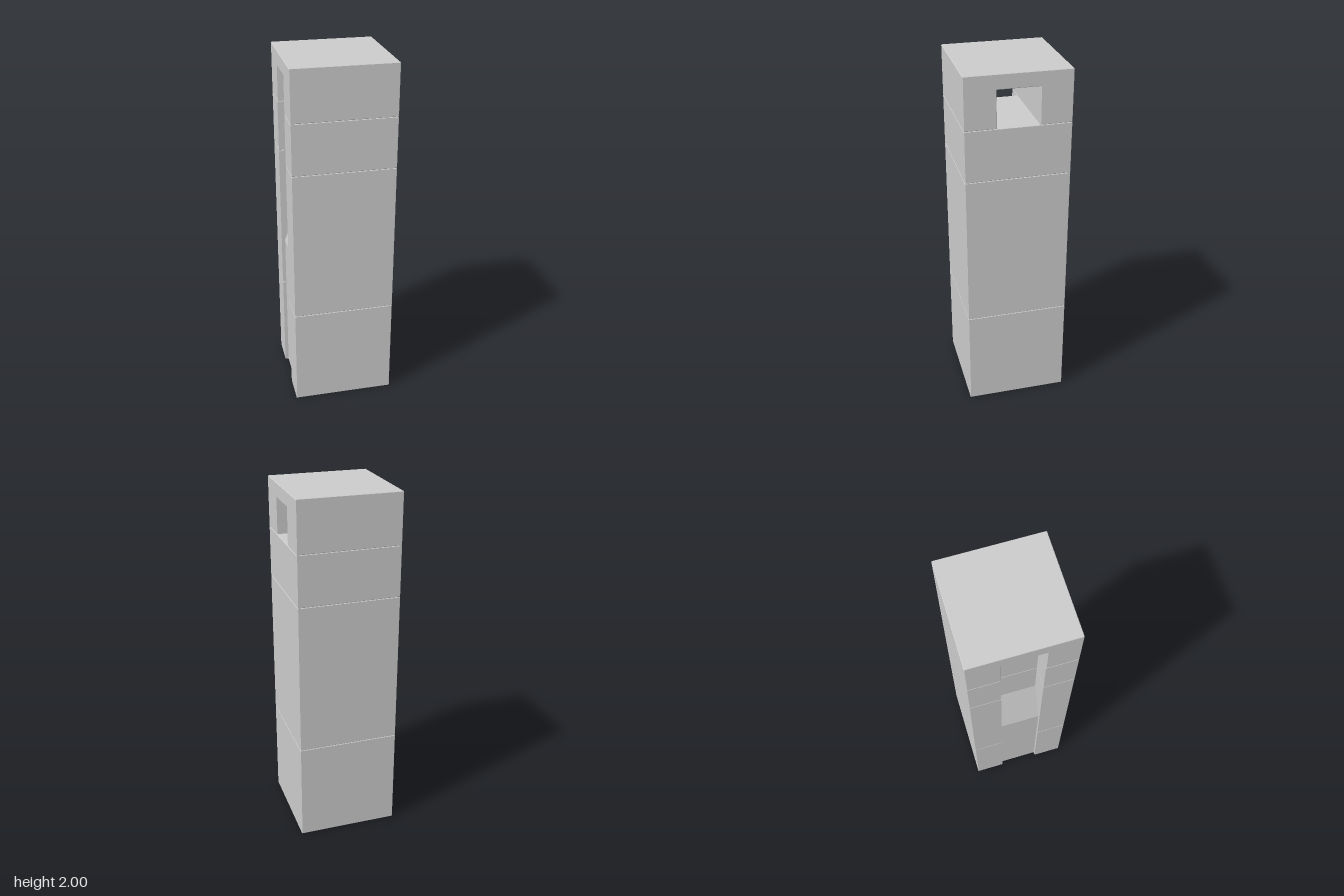
import * as THREE from 'three';

const U = 2 / 7;          // grid unit: the tower is 2 x 2 x 7 units
const C = 0.003;          // tiny edge chamfer
const SLOT = 0.4 * U;     // half width of the channel
const DEEP = 0.4 * U;     // channel depth in its upper part
const SHALLOW = 0.02;     // channel depth in its lower part

const material = new THREE.MeshStandardMaterial({ color: 0xcccccc, flatShading: true });

// Chamfered block with a U-shaped section, open at the bottom of the section,
// extruded along z from 0 to length.
function notchedBlock(halfWidth, height, notch, length) {
  const w = halfWidth, h = height;
  const shape = new THREE.Shape([
    [-w + C, 0], [-SLOT, 0], [-SLOT, notch], [SLOT, notch], [SLOT, 0], [w - C, 0],
    [w, C], [w, h - C], [w - C, h], [-w + C, h], [-w, h - C], [-w, C],
  ].map(([x, y]) => new THREE.Vector2(x, y)));
  return new THREE.ExtrudeGeometry(shape, {
    depth: length - 2 * C, bevelEnabled: true, bevelSegments: 1,
    bevelSize: C, bevelOffset: -C, bevelThickness: C,
  }).translate(0, 0, C);
}

export function createModel() {
  const group = new THREE.Group();
  const add = (name, geometry) => {
    const mesh = new THREE.Mesh(geometry, material);
    mesh.name = name;
    group.add(mesh);
  };

  // Stacked blocks with the channel open towards -x
  const toUpright = new THREE.Matrix4().makeBasis(
    new THREE.Vector3(0, 0, 1), new THREE.Vector3(1, 0, 0), new THREE.Vector3(0, 1, 0));
  for (const [name, from, to] of [['baseBlock', 0, 2], ['shaftBlock', 2, 5], ['upperBlock', 5, 6]]) {
    const geometry = notchedBlock(U, 2 * U, DEEP, (to - from) * U);
    add(name, geometry.applyMatrix4(toUpright).translate(-U, from * U, 0));
  }

  // Top block with a window passing through along x
  add('topBlock', notchedBlock(U, U, 0.72 * U, 2 * U)
    .rotateY(Math.PI / 2).translate(-U, 6 * U, 0));

  // Sloping filler that makes the lower channel shallow, split at the block seam
  const back = -U + DEEP, face = -U + SHALLOW;
  const fillers = [
    ['lowerChannelFill', [[face, 0], [back, 0], [back, 2 * U], [face, 2 * U]]],
    ['channelRamp', [[face, 2 * U], [back, 2 * U], [back, 4 * U], [face, 3 * U]]],
  ];
  for (const [name, points] of fillers) {
    const shape = new THREE.Shape(points.map(([x, y]) => new THREE.Vector2(x, y)));
    add(name, new THREE.ExtrudeGeometry(shape, { depth: 2 * SLOT, bevelEnabled: false })
      .translate(0, 0, -SLOT));
  }
  return group;
}
